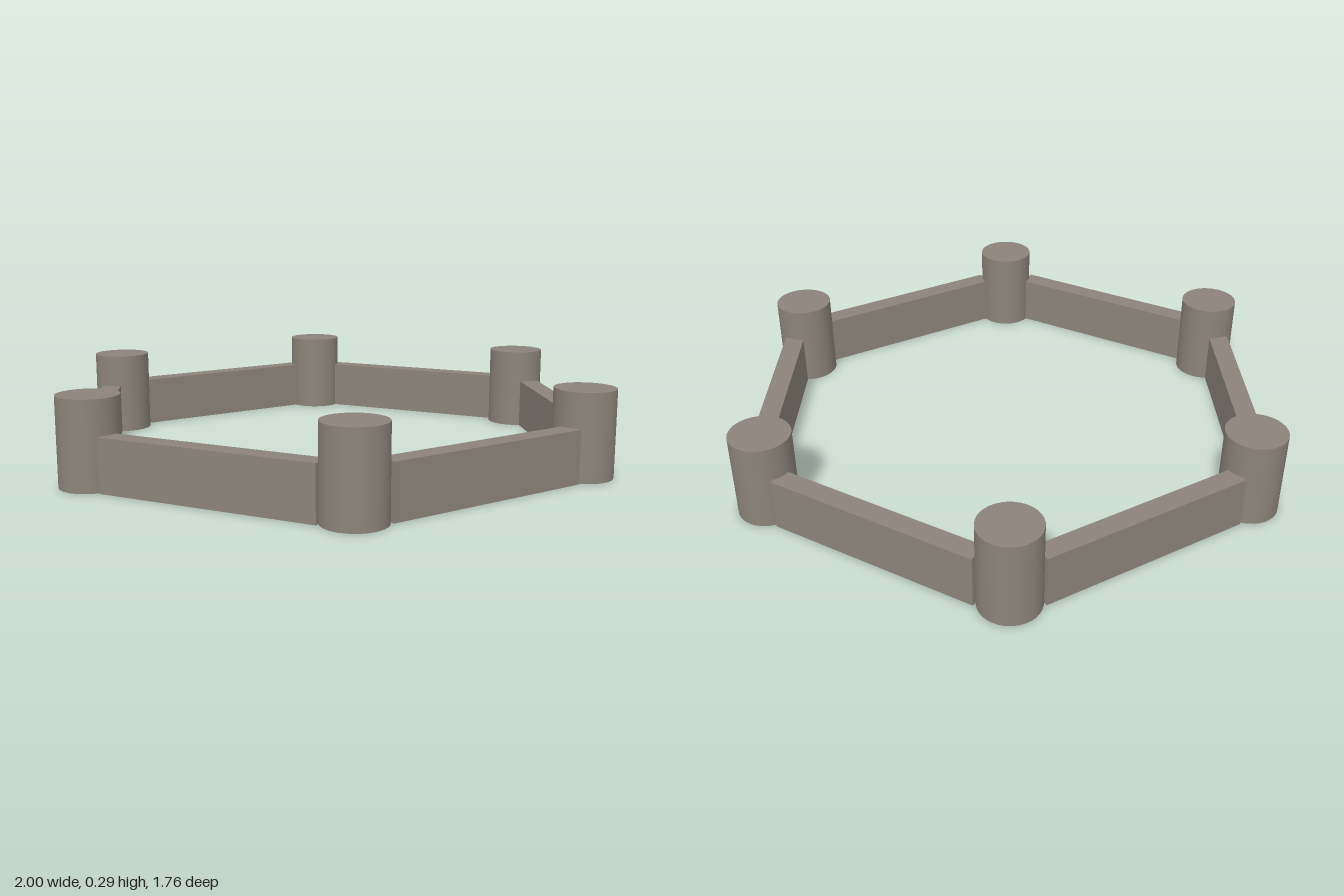
import * as THREE from 'three';

export function createModel() {
  const model = new THREE.Group();
  model.name = 'hexagonalWall';
  const stone = new THREE.MeshStandardMaterial({ color: 0x8c847b });
  stone.name = 'warm grey stone';

  const postHeight = 0.29, wallHeight = 0.175;
  const postRing = 0.9, wallRing = 0.812;
  const postGeometry = new THREE.CylinderGeometry(0.1, 0.1, postHeight, 32);
  const wallGeometry = new THREE.BoxGeometry(0.73, wallHeight, 0.07);

  for (let i = 0; i < 6; i++) {
    // Round tower at each corner
    const corner = (i * Math.PI) / 3;
    const post = new THREE.Mesh(postGeometry, stone);
    post.name = `cornerTower${i + 1}`;
    post.position.set(postRing * Math.cos(corner), postHeight / 2, postRing * Math.sin(corner));
    model.add(post);

    // Straight wall between neighbouring towers, set slightly outward
    const side = corner + Math.PI / 6;
    const wall = new THREE.Mesh(wallGeometry, stone);
    wall.name = `wall${i + 1}`;
    wall.position.set(wallRing * Math.cos(side), wallHeight / 2, wallRing * Math.sin(side));
    wall.rotation.y = Math.PI / 2 - side;
    model.add(wall);
  }
  return model;
}
